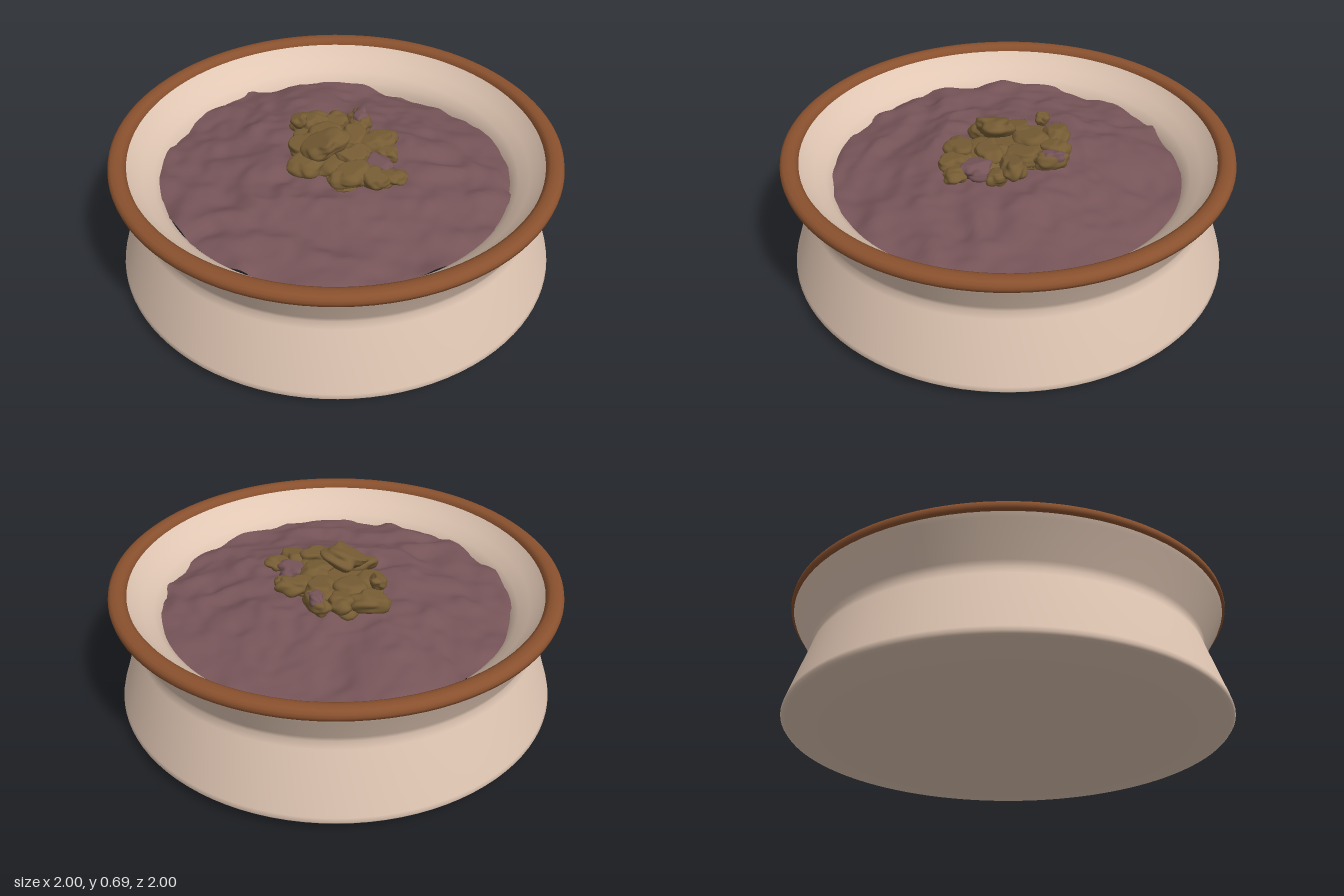
import * as THREE from 'three';
import { mergeVertices, toCreasedNormals } from 'three/addons/utils/BufferGeometryUtils.js';

const cream = new THREE.MeshStandardMaterial({ name: 'cream ceramic', color: 0xe1c7b4 });
const brown = new THREE.MeshStandardMaterial({ name: 'brown glaze', color: 0x8a512e });
const purple = new THREE.MeshStandardMaterial({ name: 'purple porridge', color: 0x765458 });
const olive = new THREE.MeshStandardMaterial({ name: 'olive crumbs', color: 0x765c34 });

// Smooth repeatable noise in 2D, about -1..1
function hash(i, j) {
  const s = Math.sin(i * 127.1 + j * 311.7) * 43758.5453;
  return (s - Math.floor(s)) * 2 - 1;
}
function noise(x, y) {
  const i = Math.floor(x), j = Math.floor(y);
  const u = THREE.MathUtils.smoothstep(x - i, 0, 1), v = THREE.MathUtils.smoothstep(y - j, 0, 1);
  const mix = THREE.MathUtils.lerp;
  return mix(mix(hash(i, j), hash(i + 1, j), u), mix(hash(i, j + 1), hash(i + 1, j + 1), u), v);
}

// Wrinkled mound with a dip at the back left edge
function foodHeight(x, z) {
  const r = Math.hypot(x, z);
  const dip = Math.exp(-((x - 0.33) ** 2 + (z + 0.65) ** 2) / 0.07);
  const wx = x + 0.09 * noise(x * 4 + 7, z * 4), wz = z + 0.09 * noise(x * 4, z * 4 + 9);
  const ridge = 1 - Math.abs(noise(wx * 4, wz * 6 + 3));
  return 0.522 - 0.135 * r * r - 0.01 * (x - z) - 0.045 * dip + 0.024 * (ridge - 0.6)
    + 0.018 * noise(wx * 7 + 20, wz * 10) + 0.008 * noise(x * 18, z * 18);
}

function lathe(points, material, name) {
  const geo = new THREE.LatheGeometry(points.map(([r, y]) => new THREE.Vector2(r, y)), 96);
  const mesh = new THREE.Mesh(toCreasedNormals(geo, 1.2), material);
  mesh.name = name;
  return mesh;
}

function makeFood() {
  const geo = new THREE.RingGeometry(0.001, 0.79, 160, 60).rotateX(-Math.PI / 2);
  const p = geo.attributes.position;
  for (let i = 0; i < p.count; i++) p.setY(i, foodHeight(p.getX(i), p.getZ(i)));
  const welded = new THREE.BufferGeometry().setAttribute('position', p).setIndex(geo.index);
  const smooth = mergeVertices(welded, 1e-5);
  smooth.computeVertexNormals();
  const mesh = new THREE.Mesh(smooth, purple);
  mesh.name = 'foodSurface';
  return mesh;
}

// A lumpy, slightly flattened crumb
function makeCrumb([x, y, z, sx, sy, sz, turn, tilt], seed, material, name) {
  let geo = new THREE.IcosahedronGeometry(1, 7);
  geo.deleteAttribute('normal');
  geo.deleteAttribute('uv');
  geo = mergeVertices(geo, 1e-4);
  const p = geo.attributes.position, v = new THREE.Vector3();
  for (let i = 0; i < p.count; i++) {
    v.fromBufferAttribute(p, i);
    const bump = noise(v.x * 1.7 + seed * 5.3, v.z * 1.7 + v.y) * 0.25
      + noise(v.y * 2.4 + seed * 3.1, v.x * 2.4 - v.z) * 0.16;
    v.multiplyScalar(1 + bump);
    v.y = THREE.MathUtils.clamp(v.y, -0.8, 0.75 + 0.25 * v.x);
    p.setXYZ(i, v.x, v.y, v.z);
  }
  geo.computeVertexNormals();
  const mesh = new THREE.Mesh(geo, material);
  mesh.name = name;
  mesh.scale.set(sx, sy, sz);
  mesh.rotation.set(0, turn, tilt, 'ZYX');
  mesh.position.set(x, y, z);
  return mesh;
}

export function createModel() {
  const model = new THREE.Group();
  model.name = 'bowlOfFood';

  // Bowl: flat base, flared foot, pinched waist, flared lip
  model.add(lathe([
    [0, 0], [0.74, 0], [0.76, 0.002], [0.97, 0.035], [0.988, 0.04], [0.995, 0.05], [0.99, 0.07],
    [0.9, 0.34], [0.889, 0.375], [0.898, 0.4], [0.978, 0.535], [0.988, 0.56],
  ], cream, 'outerBowl'));
  model.add(lathe([
    [0.925, 0.58], [0.9, 0.55], [0.86, 0.515], [0.815, 0.475], [0.785, 0.44], [0.774, 0.4], [0.765, 0.34],
  ], cream, 'innerBowl'));

  // Glazed rim
  model.add(lathe([
    [0.986, 0.555], [0.997, 0.56], [1, 0.575], [0.997, 0.59], [0.985, 0.6],
    [0.962, 0.604], [0.94, 0.601], [0.926, 0.592], [0.921, 0.575],
  ], brown, 'rim'));

  model.add(makeFood());

  // Crumb pile: x, y, z, three radii, turn, tilt
  const crumbs = [
    [-0.04, 0.53, -0.04, 0.15, 0.055, 0.2, 0.2, 0],
    [0.08, 0.53, 0.1, 0.15, 0.05, 0.12, 0.7, 0],
    [-0.045, 0.63, 0.07, 0.1, 0.05, 0.085, 0.2, 0.36],
    [-0.12, 0.56, -0.21, 0.085, 0.05, 0.055, 0.1, 0.1],
    [-0.165, 0.615, -0.14, 0.042, 0.04, 0.035, 0.4, 0.3],
    [0.0, 0.56, -0.21, 0.06, 0.045, 0.06, 0.9, 0],
    [0.11, 0.57, -0.19, 0.05, 0.045, 0.085, 0.2, 0.2],
    [-0.05, 0.565, -0.1, 0.085, 0.045, 0.07, 1.3, 0.1],
    [-0.14, 0.55, -0.03, 0.075, 0.05, 0.08, 0.5, 0],
    [0.08, 0.56, -0.07, 0.09, 0.045, 0.075, 2, 0.1],
    [0.18, 0.565, -0.04, 0.09, 0.045, 0.055, 0.3, 0.1],
    [-0.12, 0.56, 0.12, 0.085, 0.045, 0.065, 0.6, 0],
    [0.08, 0.565, 0.07, 0.075, 0.045, 0.08, 1.1, -0.1],
    [0.06, 0.565, 0.21, 0.1, 0.045, 0.065, 0.4, 0],
    [0.16, 0.555, 0.22, 0.07, 0.045, 0.05, 2.2, 0.1],
    [0.24, 0.545, 0.2, 0.06, 0.04, 0.055, 0.2, 0],
    [0.23, 0.54, 0.02, 0.05, 0.04, 0.05, 0.8, 0],
  ];
  // Dabs of porridge stuck between the crumbs
  const dabs = [
    [0.115, 0.59, -0.21, 0.04, 0.035, 0.055, 0.2, 0.1],
    [0.19, 0.545, 0.12, 0.065, 0.05, 0.07, 0.5, 0],
  ];
  const pile = new THREE.Group();
  pile.name = 'crumbPile';
  crumbs.forEach((c, i) => pile.add(makeCrumb(c, i + 1, olive, 'crumb')));
  dabs.forEach((d, i) => pile.add(makeCrumb(d, i + 30, purple, 'porridgeDab')));
  model.add(pile);
  return model;
}
